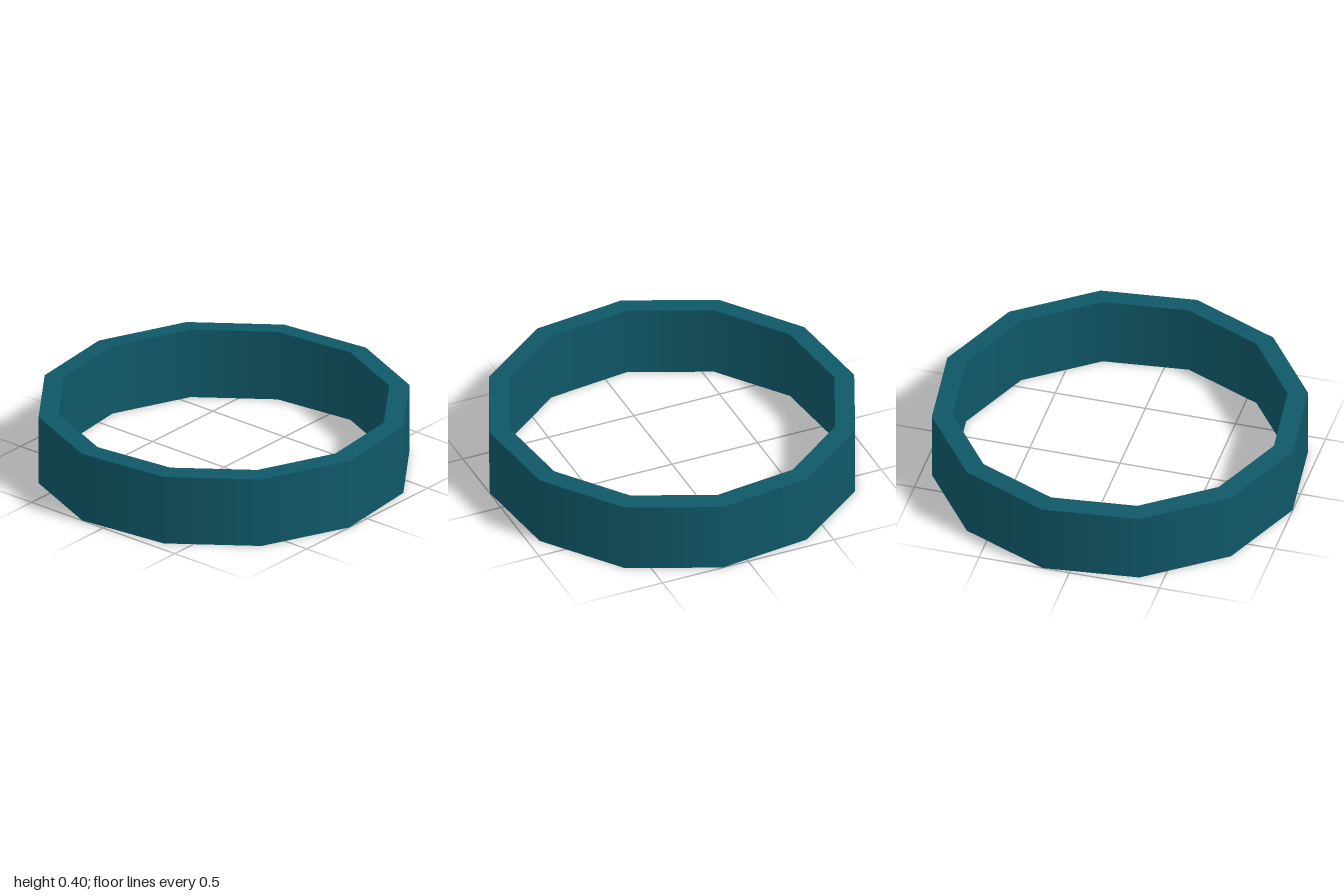
import * as THREE from 'three';

const SIDES = 12;
const TURN = THREE.MathUtils.degToRad(21.6); // twist of the twelve corners about y

export function createModel() {
  const group = new THREE.Group();
  group.name = 'ring';
  const material = new THREE.MeshStandardMaterial({ color: 0x0f5868 });

  // Section corners [radius, height]; the inner rim stands slightly higher
  const outerBottom = [1.01, 0];
  const outerTop = [1.01, 0.392];
  const innerTop = [0.9, 0.398];
  const innerBottom = [0.9, 0];

  // One lathe strip per face: smooth around the ring, sharp at the rims
  const addBand = (name, from, to) => {
    const profile = [from, to].map(([r, y]) => new THREE.Vector2(r, y));
    const mesh = new THREE.Mesh(new THREE.LatheGeometry(profile, SIDES, TURN), material);
    mesh.name = name;
    group.add(mesh);
  };
  addBand('outerWall', outerBottom, outerTop);
  addBand('topRim', outerTop, innerTop);
  addBand('innerWall', innerTop, innerBottom);
  addBand('bottomRim', innerBottom, outerBottom);

  return group;
}
